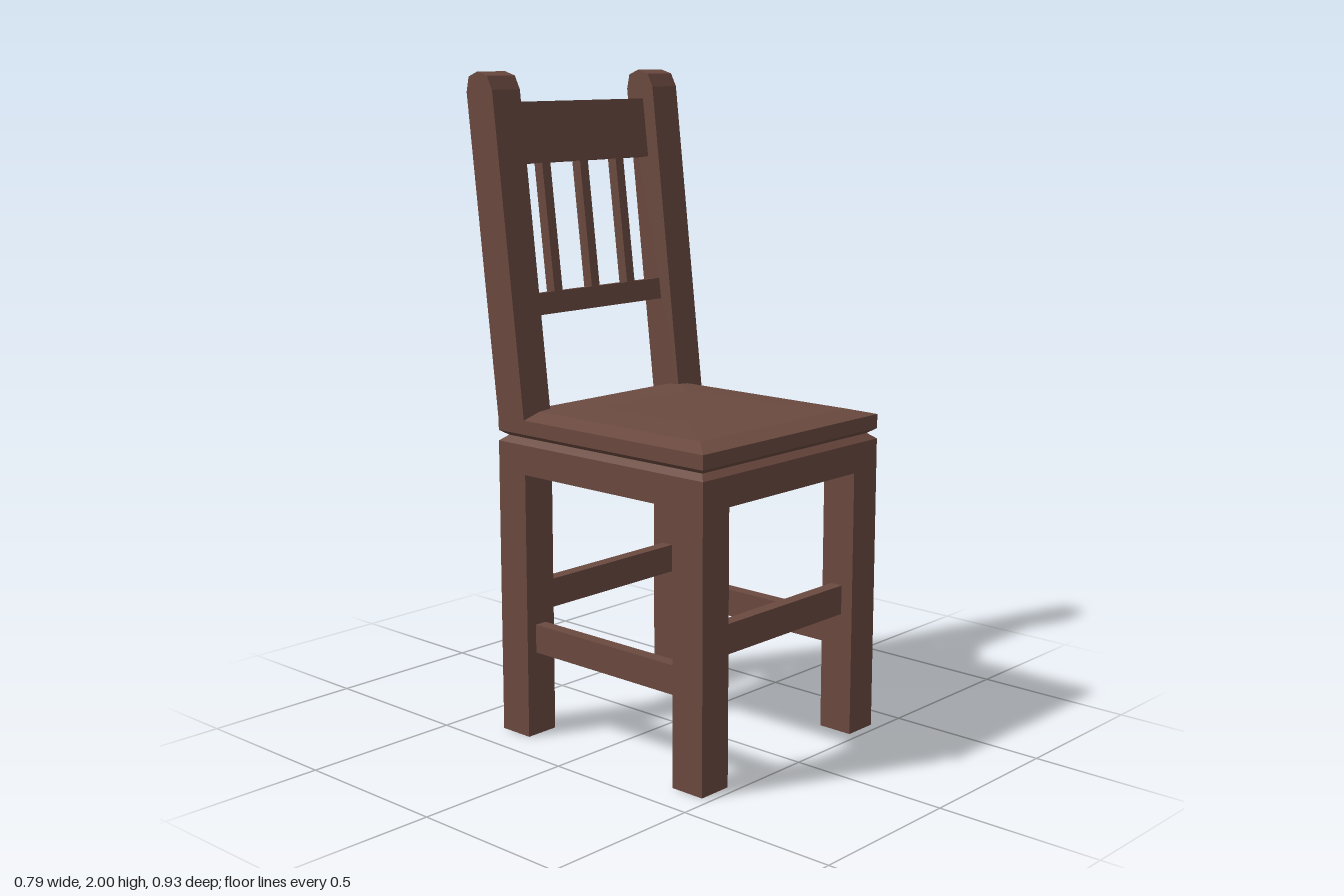
import * as THREE from 'three';

const WOOD = new THREE.MeshStandardMaterial({ color: 0x6b4a40, flatShading: true, side: THREE.DoubleSide });
const HALF_X = 0.395, HALF_Z = 0.41, MID_Z = 0.06;
const LEAN = 0.123; // backward shift of the back per unit of height

function add(group, name, geometry) {
  const mesh = new THREE.Mesh(geometry, WOOD);
  mesh.name = name;
  group.add(mesh);
  return mesh;
}

function box(group, name, w, h, d, x, y, z) {
  const mesh = add(group, name, new THREE.BoxGeometry(w, h, d));
  mesh.position.set(x, y, z);
  return mesh;
}

// Closed slab from stacked rectangles, each [height, inset x, inset z]
function slab(levels) {
  const pos = [], index = [];
  const corners = [[1, 1], [1, -1], [-1, -1], [-1, 1]];
  for (const [y, ix, iz] of levels) {
    for (const [sx, sz] of corners) pos.push(sx * (HALF_X - ix), y, MID_Z + sz * (HALF_Z - iz));
  }
  for (let l = 0; l < levels.length - 1; l++) {
    for (let i = 0; i < 4; i++) {
      const a = l * 4 + i, b = l * 4 + (i + 1) % 4;
      index.push(a, b, b + 4, a, b + 4, a + 4);
    }
  }
  const t = (levels.length - 1) * 4;
  index.push(0, 2, 1, 0, 3, 2, t, t + 1, t + 2, t, t + 2, t + 3);
  const g = new THREE.BufferGeometry();
  g.setAttribute('position', new THREE.Float32BufferAttribute(pos, 3));
  g.setIndex(index);
  const flat = g.toNonIndexed();
  flat.computeVertexNormals();
  return flat;
}

// Leg with an open foot
function legGeometry(w, h, d) {
  const g = new THREE.BoxGeometry(w, h, d);
  const idx = Array.from(g.index.array);
  idx.splice(18, 6);
  g.setIndex(idx);
  g.clearGroups();
  return g;
}

export function createModel() {
  const chair = new THREE.Group();
  chair.name = 'chair';

  // Frame and cushioned seat, with a V groove between them
  add(chair, 'seatFrame', slab([[0.82, 0, 0], [0.91, 0, 0], [0.927, 0.022, 0.022]]));
  add(chair, 'seat', slab([
    [0.927, 0.022, 0.022], [0.942, 0, 0], [0.985, 0, 0], [1.002, 0.065, 0.068], [1.012, 0.2, 0.23],
  ]));

  // Legs and stretchers
  for (const s of [-1, 1]) {
    for (const t of [-1, 1]) {
      const leg = add(chair, t > 0 ? 'frontLeg' : 'backLeg', legGeometry(0.11, 0.82, 0.113));
      leg.position.set(s * 0.34, 0.41, MID_Z + t * 0.3535);
    }
    box(chair, 'sideStretcher', 0.04, 0.088, 0.6, s * 0.34, 0.305, MID_Z);
    box(chair, s > 0 ? 'frontStretcher' : 'backStretcher', 0.58, 0.09, 0.04, 0, 0.42, MID_Z + s * 0.35);
  }

  // Leaning back posts with rounded tops, profile points as [z, y]
  const profile = [
    [-0.238, 0.975], [-0.35, 0.975], [-0.464, 1.94], [-0.454, 1.985],
    [-0.416, 2.0], [-0.374, 1.988], [-0.353, 1.948],
  ];
  const shape = new THREE.Shape(profile.map(([z, y]) => new THREE.Vector2(-z, y)));
  for (const s of [-1, 1]) {
    const post = new THREE.ExtrudeGeometry(shape, { depth: 0.11, bevelEnabled: false });
    post.rotateY(Math.PI / 2);
    add(chair, 'backPost', post).position.x = s * 0.34 - 0.055;
  }

  // Rails and spindles follow the lean of the posts
  const leaning = (name, w, h, d, x, y) => {
    const z = -0.3035 - LEAN * (y - 1);
    box(chair, name, w, h, d, x, y, z).rotation.x = -Math.atan(LEAN);
  };
  leaning('topRail', 0.58, 0.183, 0.041, 0, 1.817);
  leaning('lowerRail', 0.58, 0.066, 0.041, 0, 1.307);
  for (const x of [-0.16, 0, 0.157]) leaning('spindle', 0.034, 0.4, 0.034, x, 1.533);

  return chair;
}
